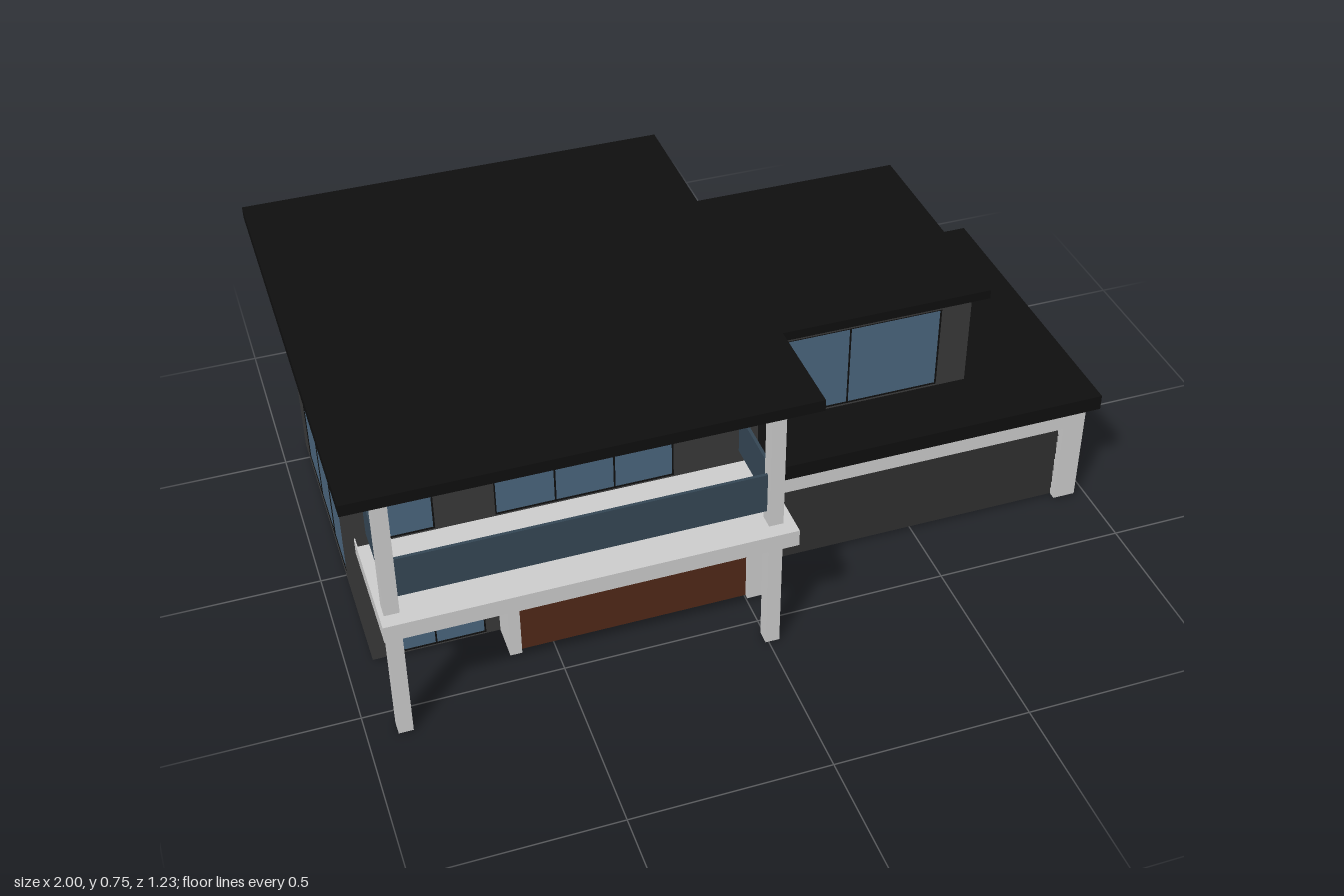
import * as THREE from 'three';

const paint = (color) => new THREE.MeshStandardMaterial({ color });
const T = 0.03; // wall thickness

export function createModel() {
  const house = new THREE.Group();
  house.name = 'house';
  const white = paint(0xcccccc), dark = paint(0x383838), black = paint(0x0f0f0f);
  const glass = paint(0x4a657d), railGlass = paint(0x344654);
  const wood = paint(0x502818), door = paint(0x2b2b2b);

  // Box given by its limits on each axis
  function box(name, mat, [x0, x1], [y0, y1], [z0, z1], parent = house) {
    const mesh = new THREE.Mesh(new THREE.BoxGeometry(x1 - x0, y1 - y0, z1 - z0), mat);
    mesh.position.set((x0 + x1) / 2, (y0 + y1) / 2, (z0 + z1) / 2);
    mesh.name = name;
    parent.add(mesh);
    return mesh;
  }

  const rect = (C, u0, u1, v0, v1) => new C([[u0, v0], [u1, v0], [u1, v1], [u0, v1]]
    .map(([u, v]) => new THREE.Vector2(u, v)));

  // Wall panel with framed windows: [u0, u1, v0, v1, panes]
  function wall(name, mat, [u0, u1], [v0, v1], windows = []) {
    const group = new THREE.Group();
    group.name = name;
    const shape = rect(THREE.Shape, u0, u1, v0, v1);
    for (const [a, b, c, d] of windows) shape.holes.push(rect(THREE.Path, a, b, c, d));
    const panel = new THREE.Mesh(new THREE.ExtrudeGeometry(shape, { depth: T, bevelEnabled: false }), mat);
    panel.name = name + 'Panel';
    group.add(panel);
    const f = 0.004;
    for (const [a, b, c, d, panes] of windows) {
      box('windowGlass', glass, [a, b], [c, d], [0.004, T - 0.004], group);
      for (const v of [c, d - f]) box('windowRail', black, [a, b], [v, v + f], [0.002, T - 0.002], group);
      for (let i = 0; i <= panes; i++) {
        const u = a + (b - a - f) * i / panes;
        box('windowMullion', black, [u, u + f], [c, d], [0.002, T - 0.002], group);
      }
    }
    house.add(group);
    return group;
  }
  // Panels facing front/back end at z; panels facing sideways run along z and end at x
  const frontWall = (z, ...args) => { wall(...args).position.z = z - T; };
  const sideWall = (x, ...args) => {
    const g = wall(...args);
    g.rotation.y = -Math.PI / 2;
    g.position.x = x;
  };

  // Main block
  frontWall(0.33, 'lowerFrontWall', dark, [-0.935, -0.615], [0.01, 0.335],
    [[-0.9, -0.65, 0.012, 0.275, 2]]);
  frontWall(0.33, 'upperFrontWall', dark, [-0.935, 0.055], [0.38, 0.725],
    [[-0.89, -0.75, 0.382, 0.67, 1], [-0.605, -0.16, 0.382, 0.67, 3]]);
  frontWall(-0.515, 'mainBackWall', dark, [-0.935, 0.055], [0.01, 0.725]);
  sideWall(-0.935 + T, 'mainRightWall', dark, [-0.515, 0.3], [0.01, 0.725],
    [[-0.49, 0.025, 0.012, 0.275, 3], [-0.49, -0.095, 0.615, 0.687, 2]]);
  sideWall(0.055, 'mainLeftUpperWall', dark, [-0.515, 0.3], [0.335, 0.725]);
  box('mainLeftLowerWall', white, [0, 0.056], [0.01, 0.335], [-0.545, 0.425]);
  box('mainRoof', black, [-1, 0.105], [0.725, 0.755], [-0.612, 0.614]);

  // Entrance bay
  box('entrancePost', white, [-0.615, -0.585], [0.01, 0.335], [0.3, 0.425]);
  box('entrancePanel', wood, [-0.585, 0], [0.01, 0.335], [0.39, 0.412]);

  // Balcony
  box('balconySlab', white, [-0.938, 0.055], [0.335, 0.38], [0.3, 0.614]);
  for (const x of [-0.927, -0.008]) {
    box('balconyPost', white, [x, x + 0.036], [0, 0.335], [0.54, 0.577]);
    box('balconyPost', white, [x, x + 0.036], [0.38, 0.725], [0.54, 0.577]);
    box('sideRailGlass', railGlass, [x + 0.014, x + 0.022], [0.415, 0.525], [0.33, 0.56]);
  }
  box('frontRailGlass', railGlass, [-0.913, 0.014], [0.415, 0.525], [0.553, 0.561]);

  // Garage, open below
  box('garageRoof', black, [0.056, 1], [0.295, 0.337], [-0.494, 0.34]);
  box('garageLeftWall', white, [0.935, 0.965], [0.01, 0.295], [-0.43, 0.3]);
  box('garageBackWall', white, [0.055, 0.965], [0.01, 0.295], [-0.46, -0.43]);
  box('garageHeader', white, [0.115, 0.905], [0.245, 0.295], [0.3, 0.33]);
  for (const [a, b] of [[0.055, 0.115], [0.905, 0.965]])
    box('garagePier', white, [a, b], [0.01, 0.295], [0.3, 0.33]);

  // Slatted garage door, each slat tilted a little
  const slats = 12, h = 0.235 / slats;
  box('garageDoorBacking', door, [0.115, 0.905], [0.01, 0.245], [0.297, 0.303]);
  for (let i = 0; i < slats; i++) {
    const y = 0.01 + i * h;
    const slat = box('garageDoorSlat', door, [0.115, 0.905], [y + 0.001, y + h - 0.001], [0.302, 0.309]);
    slat.rotation.x = -0.25;
  }

  // Upper room over the garage
  frontWall(0.157, 'upperRoomFrontWall', dark, [0.055, 0.695], [0.335, 0.605],
    [[0.118, 0.615, 0.34, 0.577, 2]]);
  frontWall(-0.387, 'upperRoomBackWall', dark, [0.055, 0.695], [0.335, 0.605]);
  sideWall(0.695, 'upperRoomLeftWall', dark, [-0.387, 0.127], [0.335, 0.605],
    [[-0.375, -0.058, 0.496, 0.574, 2]]);
  box('upperRoomRoof', black, [0.055, 0.73], [0.605, 0.63], [-0.447, 0.187]);

  return house;
}
